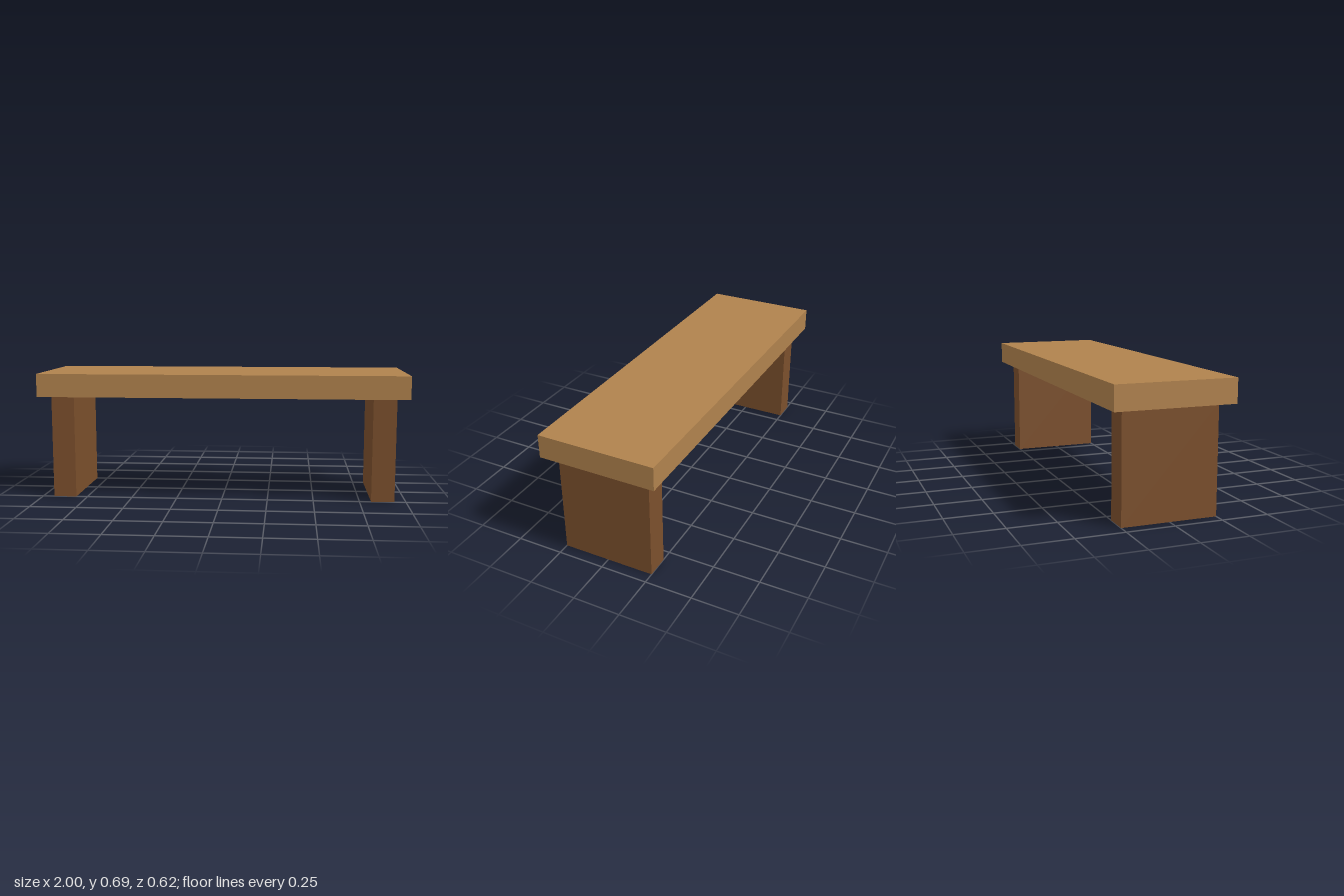
import * as THREE from 'three';

export function createModel() {
  const bench = new THREE.Group();
  bench.name = 'bench';

  const lightWood = new THREE.MeshStandardMaterial({ color: 0xb0824d });
  lightWood.name = 'lightWood';
  const darkWood = new THREE.MeshStandardMaterial({ color: 0x7b4f2c });
  darkWood.name = 'darkWood';

  const seatThickness = 0.125;
  const legHeight = 0.5625;

  // Seat plank resting on the legs
  const seat = new THREE.Mesh(new THREE.BoxGeometry(2, seatThickness, 0.625), lightWood);
  seat.name = 'seat';
  seat.position.y = legHeight + seatThickness / 2;
  bench.add(seat);

  // Matching slab legs, set in from each end
  const legGeometry = new THREE.BoxGeometry(0.125, legHeight, 0.5);
  for (const [name, side] of [['leftLeg', 1], ['rightLeg', -1]]) {
    const leg = new THREE.Mesh(legGeometry, darkWood);
    leg.name = name;
    leg.position.set(side * 0.875, legHeight / 2, 0);
    bench.add(leg);
  }

  return bench;
}
